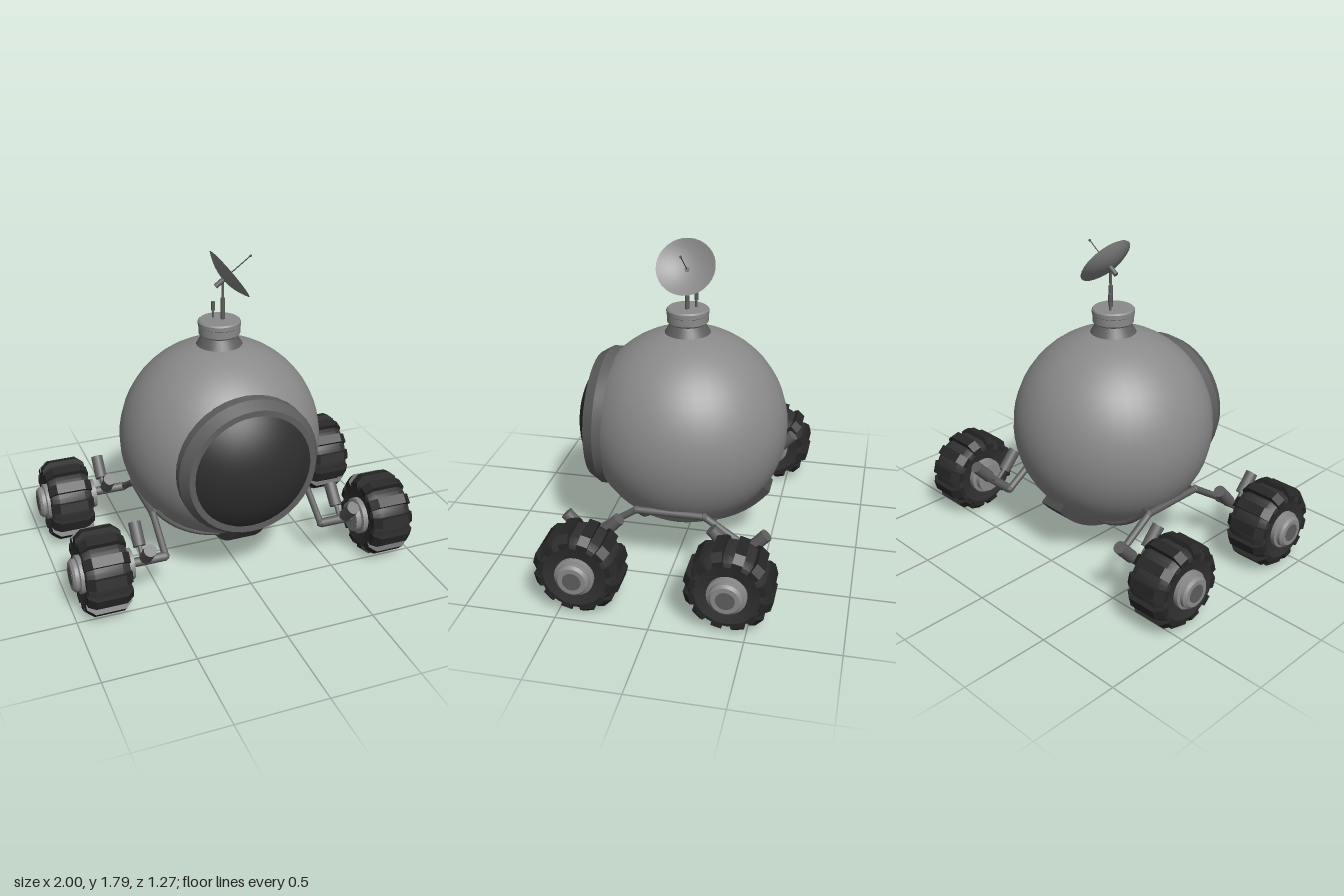
import * as THREE from 'three';
import { toCreasedNormals } from 'three/addons/utils/BufferGeometryUtils.js';

const mat = (name, color, side = THREE.FrontSide) => {
  const m = new THREE.MeshStandardMaterial({ color, side });
  m.name = name;
  return m;
};

export function createModel() {
  const hullGrey = mat('hullGrey', 0x8a8a8a);
  const dishGrey = mat('dishGrey', 0x8a8a8a, THREE.DoubleSide);
  const frameGrey = mat('frameGrey', 0x5e5e5e);
  const strapGrey = mat('strapGrey', 0x484848);
  const glassBlack = mat('glassBlack', 0x2e2e2e);
  const tyreBlack = mat('tyreBlack', 0x303030);
  const treadBlack = mat('treadBlack', 0x262626);

  const model = new THREE.Group();
  const V = (x, y, z) => new THREE.Vector3(x, y, z);
  const UP = V(0, 1, 0);
  const CY = 0.715; // height of the cabin centre

  const add = (parent, name, geo, material, x = 0, y = 0, z = 0) => {
    const m = new THREE.Mesh(geo, material);
    m.name = name;
    m.position.set(x, y, z);
    parent.add(m);
    return m;
  };
  const lathe = (pts, seg) =>
    toCreasedNormals(new THREE.LatheGeometry(pts.map(p => new THREE.Vector2(...p)), seg), 0.5);
  // Cylinder between two points
  const rod = (parent, name, a, b, r, material, seg = 8) => {
    const m = add(parent, name, new THREE.CylinderGeometry(r, r, a.distanceTo(b), seg), material);
    m.position.copy(a).add(b).multiplyScalar(0.5);
    m.quaternion.setFromUnitVectors(UP, b.clone().sub(a).normalize());
    return m;
  };

  // Cabin
  add(model, 'cabin', new THREE.SphereGeometry(0.57, 40, 28), hullGrey, 0, CY, 0);

  // Window frame and bulging glass
  const frame = add(model, 'windowFrame', lathe([
    [0.38, 0.36], [0.40, 0.39], [0.40, 0.455], [0.363, 0.517], [0.33, 0.517], [0.33, 0.48],
  ], 40), frameGrey, 0, 0.724, 0);
  frame.rotation.x = Math.PI / 2;
  const capR = (0.33 ** 2 + 0.11 ** 2) / (2 * 0.11);
  const glass = add(model, 'windowGlass', new THREE.SphereGeometry(
    capR, 40, 10, 0, Math.PI * 2, 0, Math.asin(0.33 / capR)), glassBlack, 0, 0.724, 0.62 - capR);
  glass.rotation.x = Math.PI / 2;

  // Roof collar
  add(model, 'collarBase', lathe([[0.14, 1.25], [0.122, 1.28], [0.092, 1.33], [0, 1.33]], 28), frameGrey);
  add(model, 'collarRing', lathe([
    [0, 1.325], [0.105, 1.325], [0.115, 1.335], [0.115, 1.375], [0.118, 1.378], [0.118, 1.402], [0.11, 1.41], [0, 1.41],
  ], 28), hullGrey);

  // Mast and small aerial
  rod(model, 'mastLower', V(0.02, 1.4, 0), V(0.02, 1.53, 0), 0.012, frameGrey, 12);
  rod(model, 'mastUpper', V(0.02, 1.52, 0), V(0.02, 1.63, 0), 0.008, frameGrey, 12);
  rod(model, 'aerial', V(-0.02, 1.4, -0.043), V(-0.02, 1.46, -0.043), 0.007, frameGrey);
  rod(model, 'aerialTip', V(-0.02, 1.45, -0.043), V(-0.02, 1.5, -0.043), 0.011, frameGrey);

  // Dish, tilted towards the left and up
  const dish = new THREE.Group();
  dish.name = 'dish';
  dish.position.set(0.059, 1.659, 0);
  dish.quaternion.setFromUnitVectors(UP, V(0.806, 0.592, 0).normalize());
  model.add(dish);
  const bowl = [];
  for (let i = 0; i <= 8; i++) {
    const t = i / 8;
    bowl.push(new THREE.Vector2(0.162 * t, 0.045 * (t * t - 1)));
  }
  add(dish, 'dishBowl', new THREE.LatheGeometry(bowl, 32), dishGrey);
  rod(dish, 'dishMount', V(0, -0.1, 0), V(0, -0.04, 0), 0.014, frameGrey, 12);
  rod(dish, 'feedRod', V(0, -0.045, 0), V(0, 0.15, 0), 0.003, strapGrey, 6);
  add(dish, 'feedTip', new THREE.SphereGeometry(0.007, 8, 6), strapGrey, 0, 0.15, 0);

  // Broad strap running under the cabin from front to back
  const strap = new THREE.Shape();
  const end = 0.63;
  strap.absarc(0, 0, 0.61, -end, -Math.PI + end, true);
  strap.absarc(0, 0, 0.55, -Math.PI + end, -end, false);
  const strapGeo = new THREE.ExtrudeGeometry(strap, { depth: 0.15, bevelEnabled: false, curveSegments: 24 });
  strapGeo.translate(0, 0, -0.075);
  add(model, 'bellyStrap', toCreasedNormals(strapGeo, 0.5), strapGrey, 0, CY, 0).rotation.y = Math.PI / 2;

  // Thin hoops under the cabin joining both side beams
  for (const z of [-0.19, 0.19]) {
    const arc = Math.PI - 1.2;
    const hoop = add(model, 'bellyHoop', new THREE.TorusGeometry(0.545, 0.017, 8, 36, arc), frameGrey, 0, CY, z);
    hoop.rotation.z = -Math.PI / 2 - arc / 2;
  }

  // Wheel parts, built around the y axis and later laid along x
  const tyreGeo = lathe([
    [0.08, -0.1], [0.17, -0.122], [0.19, -0.115], [0.211, -0.075],
    [0.211, 0.075], [0.19, 0.115], [0.17, 0.122], [0.08, 0.1],
  ], 36);
  const hubGeo = lathe([
    [0, -0.17], [0.085, -0.17], [0.085, -0.14], [0.105, -0.135], [0.105, -0.1],
    [0.105, 0.1], [0.105, 0.13], [0.09, 0.135], [0.09, 0.155], [0.075, 0.168], [0.05, 0.168], [0.05, 0.15], [0, 0.15],
  ], 28);
  const lug = new THREE.Shape([
    [0.17, -0.124], [0.2, -0.124], [0.235, -0.082], [0.235, 0.082], [0.2, 0.124], [0.17, 0.124],
  ].map(p => new THREE.Vector2(...p)));
  const lugGeo = new THREE.ExtrudeGeometry(lug, { depth: 0.056, bevelEnabled: false });
  lugGeo.translate(0, 0, -0.028);

  const makeWheel = () => {
    const wheel = new THREE.Group();
    wheel.name = 'wheel';
    add(wheel, 'tyre', tyreGeo, tyreBlack);
    add(wheel, 'hub', hubGeo, hullGrey);
    rod(wheel, 'axleCap', V(0, 0.1, 0), V(0, 0.17, 0), 0.05, frameGrey, 20);
    for (let i = 0; i < 12; i++) {
      add(wheel, 'treadLug', lugGeo, treadBlack).rotation.y = (i + 0.5) * Math.PI / 6;
    }
    wheel.rotation.z = -Math.PI / 2;
    return wheel;
  };

  // One side of the running gear; the other is the same turned half round
  for (const turn of [0, Math.PI]) {
    const side = new THREE.Group();
    side.name = turn ? 'rightRunningGear' : 'leftRunningGear';
    side.rotation.y = turn;
    model.add(side);

    // Bent beam with an axle arm at each end
    const path = [
      V(0.69, 0.24, 0.405), V(0.468, 0.24, 0.405), V(0.468, 0.385, 0.19),
      V(0.468, 0.385, -0.19), V(0.468, 0.24, -0.405), V(0.69, 0.24, -0.405),
    ];
    for (let i = 0; i < 5; i++) {
      rod(side, 'suspensionBeam', path[i], path[i + 1], i % 4 ? 0.02 : 0.026, frameGrey);
      if (i) add(side, 'beamJoint', new THREE.SphereGeometry(0.023, 8, 6), frameGrey, ...path[i].toArray());
    }

    // Wheels and the splayed dampers above each arm
    for (const z of [0.4, -0.4]) {
      const wheel = makeWheel();
      wheel.position.set(0.83, 0.237, z);
      side.add(wheel);
      for (const s of [-1, 1]) {
        rod(side, 'damper', V(0.595, 0.295, z + s * 0.058), V(0.595, 0.395, z + s * 0.148), 0.035, frameGrey, 16);
        rod(side, 'damperFoot', V(0.595, 0.24, z), V(0.595, 0.3, z + s * 0.06), 0.012, frameGrey);
      }
    }
  }

  return model;
}
